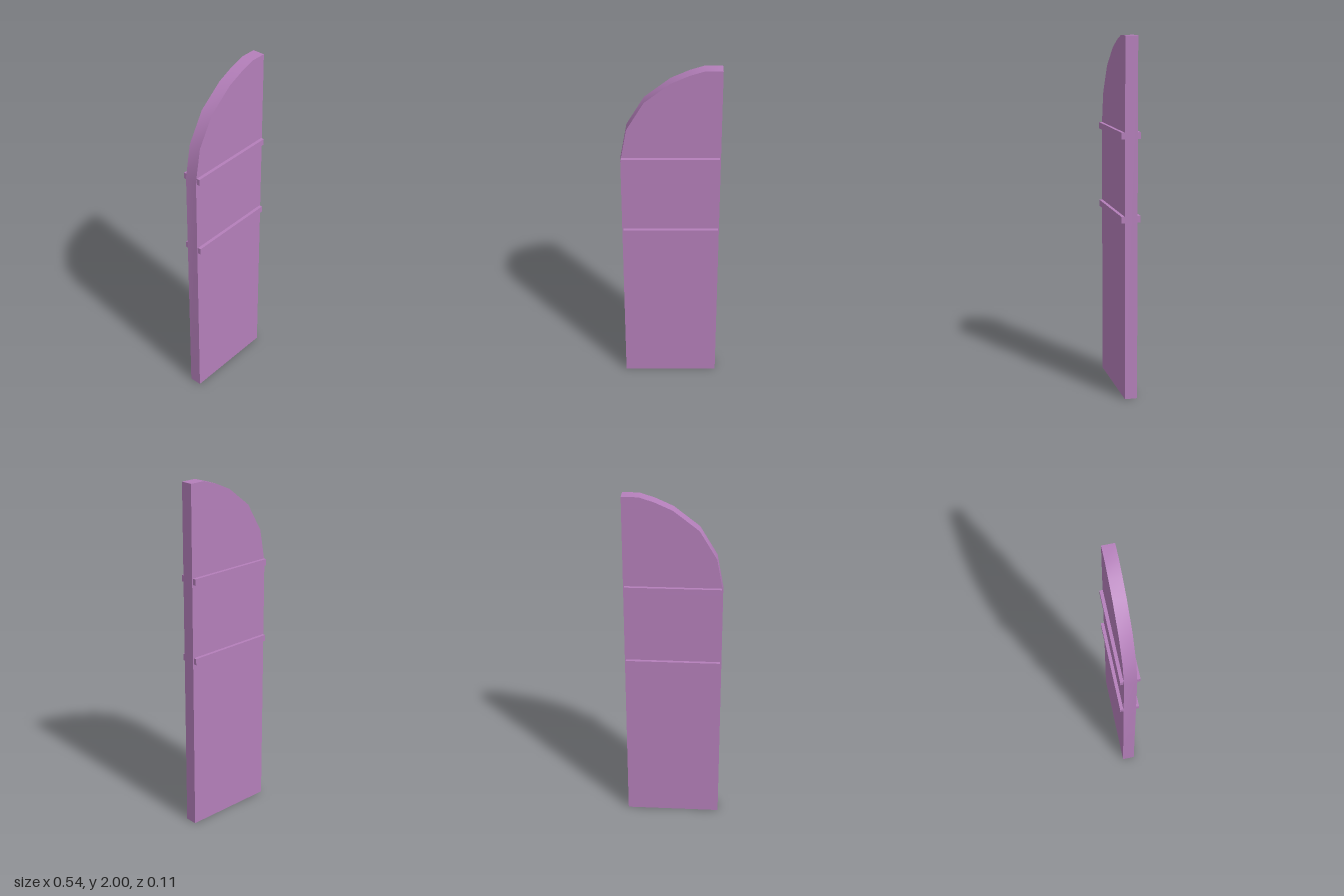
import * as THREE from 'three';
import { toCreasedNormals } from 'three/addons/utils/BufferGeometryUtils.js';

export function createModel() {
  const group = new THREE.Group();
  const material = new THREE.MeshStandardMaterial({ color: 0xb47fba });
  const halfWidth = 0.27, halfDepth = 0.035;

  // Door leaf: flat panel with a faceted quarter arch on its right
  const outline = [
    [-halfWidth, 0], [halfWidth, 0], [halfWidth, 2], [0.18, 2], [0.1, 1.975],
    [0, 1.93], [-0.14, 1.82], [-0.235, 1.66], [-halfWidth, 1.47],
  ].map(([x, y]) => new THREE.Vector2(x, y));
  const leafGeometry = new THREE.ExtrudeGeometry(new THREE.Shape(outline), {
    depth: halfDepth * 2, bevelEnabled: false,
  });
  leafGeometry.translate(0, 0, -halfDepth);
  const leaf = new THREE.Mesh(toCreasedNormals(leafGeometry, 0.5), material);
  leaf.name = 'doorLeaf';
  group.add(leaf);

  // Horizontal straps, two on each face, slightly sunk into the leaf
  const strapGeometry = new THREE.BoxGeometry(0.528, 0.036, 0.02);
  for (const [side, sign] of [['front', 1], ['back', -1]]) {
    for (const [level, y] of [['Lower', 1.018], ['Upper', 1.473]]) {
      const strap = new THREE.Mesh(strapGeometry, material);
      strap.name = `${side}${level}Strap`;
      strap.position.set(0, y, sign * 0.0435);
      group.add(strap);
    }
  }
  return group;
}
